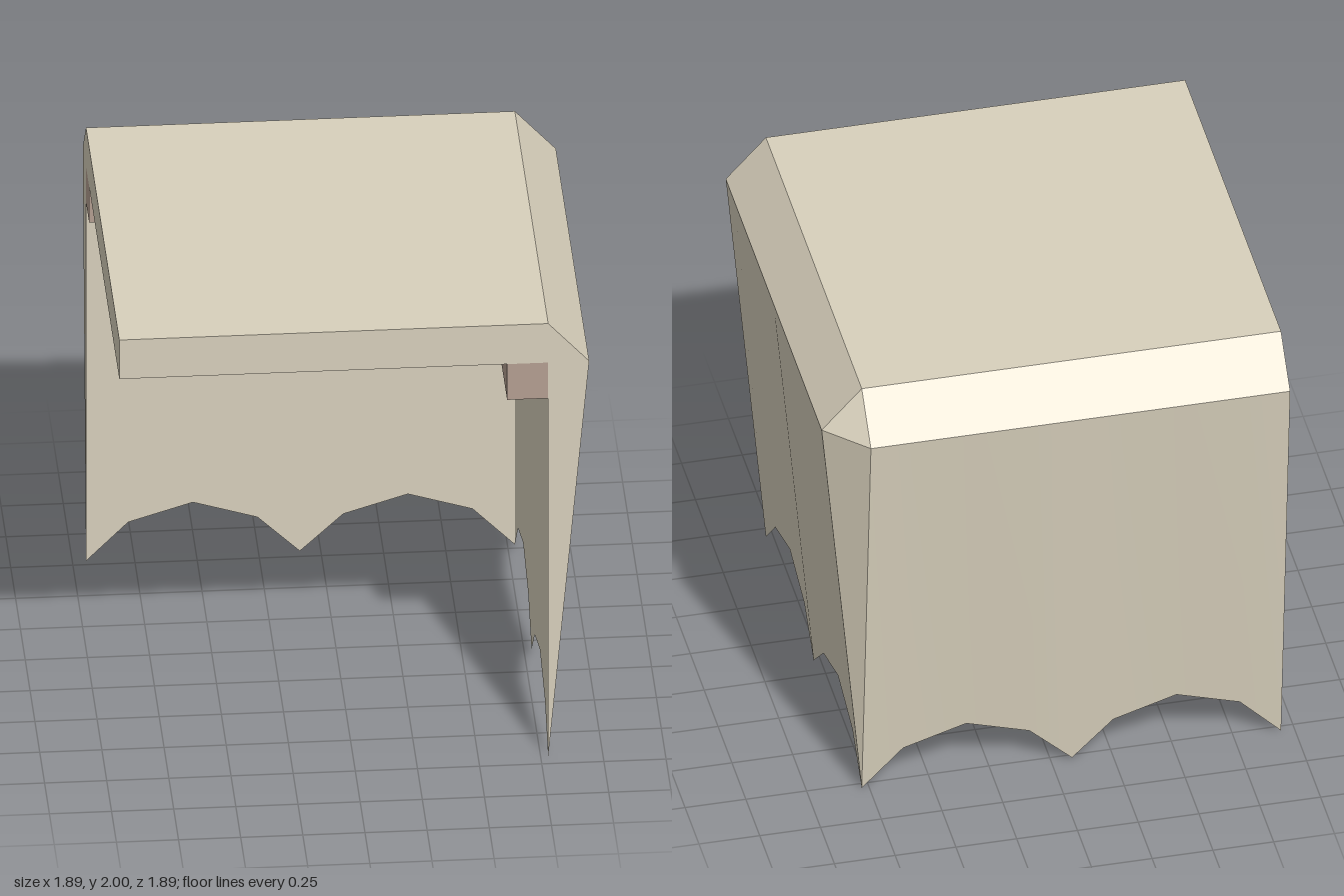
import * as THREE from 'three';

const E = 0.945; // outer extent
const I = 0.78;  // inner wall plane
const B = 0.615; // inner face of the beams
const EAVE = 1.82, TOP = 2, BEAM_LOW = 1.655;

// scalloped hem: [distance along the wall, height]
const HEM = [[-E, 0], [-0.775, 0.172], [-0.515, 0.252], [-0.255, 0.172], [-0.085, 0.008],
  [0.09, 0.172], [0.35, 0.252], [0.61, 0.172], [I, 0]];

// flat convex polygons, corners counter-clockwise from outside
function facets(polygons) {
  const pos = [];
  for (const p of polygons) {
    for (let i = 1; i < p.length - 1; i++) pos.push(...p[0], ...p[i], ...p[i + 1]);
  }
  const g = new THREE.BufferGeometry();
  g.setAttribute('position', new THREE.Float32BufferAttribute(pos, 3));
  g.computeVertexNormals();
  return g;
}

// cloth strip from the hem up to the eave, leaning out to topOffset
function curtain(place, topOffset, flip) {
  const pos = [], index = [];
  HEM.forEach(([a, y], i) => {
    pos.push(...place(a, y, I), ...place(a, EAVE, topOffset));
    if (i === 0) return;
    const l = 2 * i - 2, r = 2 * i;
    if (flip) index.push(l, r + 1, r, l, l + 1, r + 1);
    else index.push(l, r, r + 1, l, r + 1, l + 1);
  });
  const g = new THREE.BufferGeometry();
  g.setAttribute('position', new THREE.Float32BufferAttribute(pos, 3));
  g.setIndex(index);
  g.computeVertexNormals();
  return g;
}

export function createModel() {
  const model = new THREE.Group();
  model.name = 'cornerAwning';
  const cloth = new THREE.MeshStandardMaterial({ name: 'cream cloth', color: 0xd8d0bc });
  const wood = new THREE.MeshStandardMaterial({ name: 'brown wood', color: 0xb49f91 });

  const add = (name, geometry, material) => {
    const mesh = new THREE.Mesh(geometry, material);
    mesh.name = name;
    model.add(mesh);
  };

  // roof slab with sloped back and left edges
  add('roof', facets([
    [[-E, TOP, E], [I, TOP, E], [I, TOP, -I], [-E, TOP, -I]],
    [[-E, EAVE, -I], [I, EAVE, -I], [I, EAVE, E], [-E, EAVE, E]],
    [[-E, EAVE, E], [E, EAVE, E], [I, TOP, E], [-E, TOP, E]],
    [[-E, EAVE, -E], [-E, EAVE, E], [-E, TOP, E], [-E, TOP, -I]],
    [[I, EAVE, -E], [-E, EAVE, -E], [-E, TOP, -I], [I, TOP, -I]],
    [[E, EAVE, E], [E, EAVE, -I], [I, TOP, -I], [I, TOP, E]],
    [[E, EAVE, -I], [I, EAVE, -E], [I, TOP, -I]],
  ]), cloth);

  // hanging walls, thick at the eave and thin at the hem
  const back = (a, y, o) => [a, y, -o];
  const side = (a, y, o) => [o, y, -a];
  add('backCurtainInside', curtain(back, I, false), cloth);
  add('backCurtainOutside', curtain(back, E, true), cloth);
  add('leftCurtainInside', curtain(side, I, true), cloth);
  add('leftCurtainOutside', curtain(side, E, false), cloth);

  // wedge ends of the walls and the corner gusset
  add('curtainEnds', facets([
    [[I, 0, E], [E, EAVE, E], [I, EAVE, E]],
    [[-E, 0, -I], [-E, EAVE, -I], [-E, EAVE, -E]],
  ]), cloth);
  add('cornerGusset', facets([[[I, 0, -I], [I, EAVE, -E], [E, EAVE, -I]]]), cloth);

  // beams under the roof along both walls
  const beam = (name, x0, x1, z0, z1) => {
    const g = new THREE.BoxGeometry(x1 - x0, EAVE - BEAM_LOW, z1 - z0);
    g.translate((x0 + x1) / 2, (EAVE + BEAM_LOW) / 2, (z0 + z1) / 2);
    add(name, g, wood);
  };
  beam('backBeam', -E, B, -I, -B);
  beam('leftBeam', B, I, -I, E);

  return model;
}
